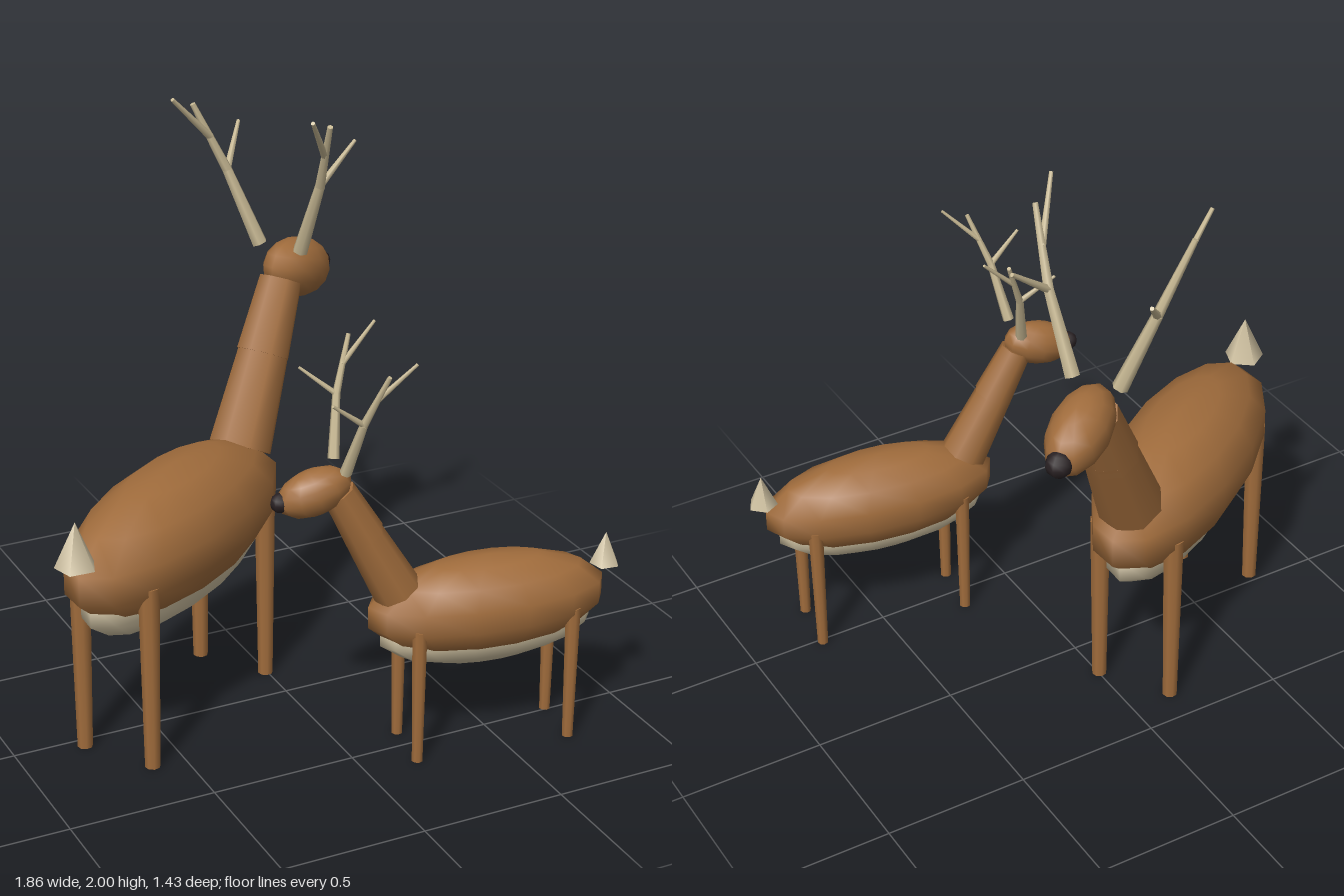
import * as THREE from 'three';

const mat = (name, color) => {
  const m = new THREE.MeshStandardMaterial({ color });
  m.name = name;
  return m;
};

export function createModel() {
  const brown = mat('brown coat', 0xa06c3c);
  const cream = mat('cream fur', 0xd0c2a2);
  const bone = mat('antler bone', 0xc8b994);
  const dark = mat('dark nose', 0x2a2224);

  const add = (parent, name, geometry, material, x = 0, y = 0, z = 0) => {
    const m = new THREE.Mesh(geometry, material);
    m.name = name;
    m.position.set(x, y, z);
    parent.add(m);
    return m;
  };

  // Ellipsoid from a coarse sphere
  const ellipsoid = (rx, ry, rz, seg = 14, rows = 7) =>
    new THREE.SphereGeometry(1, seg, rows).scale(rx, ry, rz);

  // Tapered limb between two points
  const limb = (parent, name, material, from, to, r0, r1, sides) => {
    const a = new THREE.Vector3(...from), b = new THREE.Vector3(...to);
    const dir = b.clone().sub(a);
    const mid = a.clone().add(b).multiplyScalar(0.5);
    const m = add(parent, name, new THREE.CylinderGeometry(r1, r0, dir.length(), sides), material, mid.x, mid.y, mid.z);
    m.quaternion.setFromUnitVectors(new THREE.Vector3(0, 1, 0), dir.normalize());
  };

  // One deer, facing its own +x
  const deer = (name) => {
    const g = new THREE.Group();
    g.name = name;

    // Trunk
    add(g, 'body', ellipsoid(0.58, 0.23, 0.226), brown, 0, 0.69, 0);
    add(g, 'belly', ellipsoid(0.52, 0.178, 0.165), cream, 0, 0.578, 0);
    add(g, 'tail', new THREE.ConeGeometry(0.07, 0.155, 5), cream, -0.576, 0.865, 0);

    // Neck in two overlapping lengths
    limb(g, 'lowerNeck', brown, [0.43, 0.81, 0], [0.61, 1.14, 0], 0.112, 0.088, 8);
    limb(g, 'upperNeck', brown, [0.585, 1.1, 0], [0.71, 1.33, 0], 0.094, 0.076, 8);

    // Head
    const head = add(g, 'head', ellipsoid(0.175, 0.105, 0.097, 12, 8), brown, 0.82, 1.343, 0);
    head.rotation.z = -0.28;
    add(g, 'nose', new THREE.SphereGeometry(0.044, 8, 6), dark, 0.975, 1.313, 0);

    for (const s of [-1, 1]) {
      // Legs
      for (const [label, x] of [['frontLeg', 0.368], ['hindLeg', -0.368]]) {
        limb(g, label, brown, [x, 0, s * 0.133], [x, 0.66, s * 0.133], 0.026, 0.036, 8);
      }
      // Antlers
      const antler = new THREE.Group();
      antler.name = s > 0 ? 'rightAntler' : 'leftAntler';
      g.add(antler);
      const mid = [0.66, 1.71, s * 0.18];
      limb(antler, 'beam', bone, [0.705, 1.45, s * 0.08], mid, 0.027, 0.018, 6);
      limb(antler, 'upperBeam', bone, mid, [0.577, 1.95, s * 0.263], 0.018, 0.01, 6);
      limb(antler, 'frontTine', bone, mid, [0.815, 1.835, s * 0.227], 0.014, 0.007, 6);
      limb(antler, 'rearTine', bone, [0.62, 1.83, s * 0.22], [0.456, 1.995, s * 0.266], 0.013, 0.007, 6);
    }
    return g;
  };

  const group = new THREE.Group();

  // Large deer at the back
  const large = deer('largeDeer');
  large.position.set(-0.384, 0, -0.0575);
  large.rotation.y = THREE.MathUtils.degToRad(34.3);

  // Small deer in front, facing the other way
  const small = deer('smallDeer');
  small.scale.setScalar(0.73);
  small.position.set(0.465, 0, 0.548);
  small.rotation.y = THREE.MathUtils.degToRad(172.1);

  group.add(large, small);
  return group;
}
